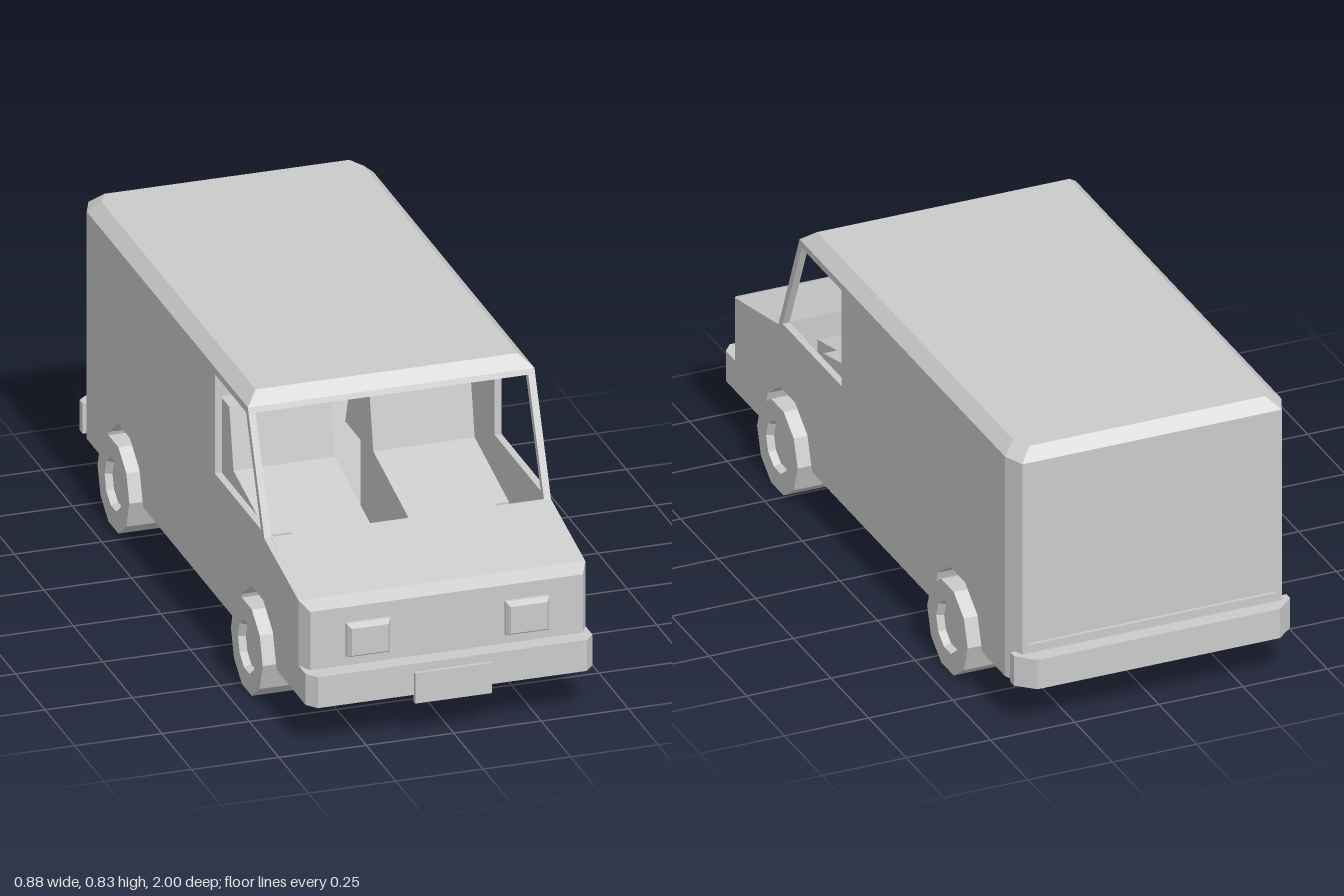
import * as THREE from 'three';

const material = new THREE.MeshStandardMaterial({ color: 0xcccccc, flatShading: true, side: THREE.DoubleSide });
const FLOOR = 0.128, WIDTH = 0.41, WALL = 0.02;
const AXLES = [-0.58, 0.55];

function add(parent, name, geometry) {
  const mesh = new THREE.Mesh(geometry, material);
  mesh.name = name;
  parent.add(mesh);
  return mesh;
}

// Skin rings of points (counter-clockwise seen from the last ring) and cap both ends
function loft(rings) {
  const pos = [], n = rings[0].length;
  const tri = (a, b, c) => pos.push(...a, ...b, ...c);
  for (let i = 0; i < rings.length - 1; i++) {
    for (let j = 0; j < n; j++) {
      const k = (j + 1) % n, [r, s] = [rings[i], rings[i + 1]];
      tri(r[j], r[k], s[k]);
      tri(r[j], s[k], s[j]);
    }
  }
  const first = rings[0], last = rings[rings.length - 1];
  for (let k = 1; k < n - 1; k++) {
    tri(first[0], first[k + 1], first[k]);
    tri(last[0], last[k], last[k + 1]);
  }
  const g = new THREE.BufferGeometry();
  g.setAttribute('position', new THREE.Float32BufferAttribute(pos, 3));
  g.computeVertexNormals();
  return g;
}

// Upright rectangle at z
const rect = (x0, x1, y0, y1, z) => [[x0, y0, z], [x1, y0, z], [x1, y1, z], [x0, y1, z]];

// Level outline at y with its two rear corners cut
const plan = (y, w, zf, zr, dx, dz) => [
  [-w, y, zf], [w, y, zf], [w, y, zr + dz], [w - dx, y, zr], [-w + dx, y, zr], [-w, y, zr + dz],
];

const toShape = pts => new THREE.Shape(pts.map(p => new THREE.Vector2(...p)));

// Extrude a (z, y) profile from x0 to x1
function sideExtrude(shape, x0, x1) {
  const g = new THREE.ExtrudeGeometry(shape, { depth: x1 - x0, bevelEnabled: false });
  return g.rotateY(-Math.PI / 2).translate(x1, 0, 0);
}

// Extrude an (x, z) outline from y0 to y1
function planExtrude(pts, y0, y1) {
  const g = new THREE.ExtrudeGeometry(toShape(pts), { depth: y1 - y0, bevelEnabled: false });
  return g.rotateX(Math.PI / 2).translate(0, y1, 0);
}

function box(parent, name, x0, x1, y0, y1, z0, z1) {
  const g = new THREE.BoxGeometry(x1 - x0, y1 - y0, z1 - z0);
  return add(parent, name, g.translate((x0 + x1) / 2, (y0 + y1) / 2, (z0 + z1) / 2));
}

// Faceted wheel arch from rear to front
const arch = (zc, r) => [5, 4, 3, 2, 1, 0].map(i => {
  const a = i * Math.PI / 5;
  return [zc + r * Math.cos(a), FLOOR + r * Math.sin(a)];
});

function buildSide(body, s) {
  // Place a span given on the left side on either side
  const span = (a, b) => (s > 0 ? [a, b] : [-b, -a]);
  const outline = [[-0.895, FLOOR], ...arch(AXLES[0], 0.163), ...arch(AXLES[1], 0.163),
    [0.72, FLOOR], [0.72, 0.447], [0.61, 0.47], [0.476, 0.785], [-0.895, 0.785]];
  const panel = toShape(outline);
  panel.holes.push(toShape([[0.582, 0.485], [0.19, 0.485], [0.19, 0.78], [0.455, 0.78]]));
  add(body, 'sidePanel', sideExtrude(panel, ...span(WIDTH - WALL, WIDTH)));

  add(body, 'rearCornerPost', planExtrude(
    [[0.39, -0.895], [0.41, -0.895], [0.385, -0.955], [0.365, -0.955]].map(([x, z]) => [s * x, z]), FLOOR, 0.785));

  for (const zc of AXLES) {
    // Wheel housing
    const band = toShape([...arch(zc, 0.173), ...arch(zc, 0.163).reverse()]);
    add(body, 'wheelHousing', sideExtrude(band, ...span(0.29, 0.39)));
    add(body, 'wheelHousingWall', sideExtrude(toShape(arch(zc, 0.173)), ...span(0.28, 0.29)));

    // Ten-sided wheel with a sunken hub
    const profile = [[0, 0], [0.135, 0], [0.135, 0.145], [0.075, 0.145], [0.067, 0.125], [0, 0.125]];
    const g = new THREE.LatheGeometry(profile.map(p => new THREE.Vector2(...p)), 10);
    g.rotateZ(-Math.PI / 2).translate(0.295, 0, 0);
    const wheel = add(body.parent, zc > 0 ? 'frontWheel' : 'rearWheel', g);
    wheel.position.set(0, FLOOR, zc);
    if (s < 0) wheel.rotation.y = Math.PI;
  }

  // Headlight
  const [x0, x1] = span(0.165, 0.29);
  add(body, 'headlight', loft([
    rect(x0, x1, 0.245, 0.345, 0.935),
    rect(x0, x1, 0.245, 0.345, 0.95),
    rect(x0 + 0.01, x1 - 0.01, 0.255, 0.335, 0.967),
  ]));
}

function buildSeat(parent, x0, x1, front0, front1) {
  const seat = new THREE.Group();
  seat.name = 'seat';
  parent.add(seat);
  add(seat, 'seatBackAndCushion', sideExtrude(toShape([[0.09, 0.14], [0.49, 0.14], [0.49, 0.422],
    [0.2, 0.49], [0.165, 0.665], [0.09, 0.665]]), x0, x1));
  add(seat, 'cushionFront', sideExtrude(toShape([[0.49, 0.14], [0.62, 0.14], [0.62, 0.392], [0.49, 0.422]]),
    front0, front1));
}

export function createModel() {
  const van = new THREE.Group();
  van.name = 'van';
  const body = new THREE.Group();
  body.name = 'body';
  van.add(body);

  for (const s of [1, -1]) buildSide(body, s);

  // Roof with bevelled edges
  add(body, 'roof', loft([
    plan(0.785, 0.41, 0.476, -0.955, 0.025, 0.06),
    plan(0.80, 0.41, 0.47, -0.955, 0.025, 0.06),
    plan(0.833, 0.375, 0.432, -0.922, 0.025, 0.05),
  ]));

  // Floor, notched at the wheels
  const edge = [];
  for (const zc of AXLES) {
    edge.push([0.41, zc - 0.163], [0.29, zc - 0.163], [0.29, zc + 0.163], [0.41, zc + 0.163]);
  }
  const half = [[0.385, -0.955], [0.41, -0.895], ...edge, [0.41, 0.9], [0.39, 0.94]];
  add(body, 'floor', planExtrude([...half, ...half.map(([x, z]) => [-x, z]).reverse()], 0.125, 0.14));

  // Nose and hood
  add(body, 'nose', loft([
    rect(-0.41, 0.41, FLOOR, 0.447, 0.72),
    rect(-0.41, 0.41, FLOOR, 0.41, 0.9),
    rect(-0.39, 0.39, FLOOR, 0.39, 0.94),
  ]));
  add(body, 'hood', loft([
    rect(-0.39, 0.39, 0.452, 0.472, 0.608),
    rect(-0.39, 0.39, 0.427, 0.447, 0.72),
  ]));

  // Rear frame and inset door
  const frame = toShape([[-0.385, FLOOR], [0.385, FLOOR], [0.385, 0.785], [-0.385, 0.785]]);
  frame.holes.push(toShape([[-0.37, 0.24], [-0.37, 0.77], [0.37, 0.77], [0.37, 0.24]]));
  add(body, 'rearFrame', new THREE.ExtrudeGeometry(frame, { depth: 0.02, bevelEnabled: false })
    .translate(0, 0, -0.955));
  box(body, 'rearDoor', -0.37, 0.37, 0.24, 0.77, -0.945, -0.935);

  // Bumpers and front plate
  add(van, 'rearBumper', loft([0.125, 0.215].map(y => plan(y, 0.41, -0.93, -1, 0.05, 0.045))));
  add(van, 'frontBumper', loft([0.125, 0.217].map(y => plan(y, 0.41, -0.9, -0.99, 0.025, 0.03))))
    .rotation.y = Math.PI;
  box(van, 'frontPlate', -0.11, 0.11, 0.103, 0.193, 0.985, 1);

  // Seats
  buildSeat(van, -0.36, -0.07, -0.295, -0.07);
  buildSeat(van, 0.04, 0.33, 0.04, 0.29);
  return van;
}
